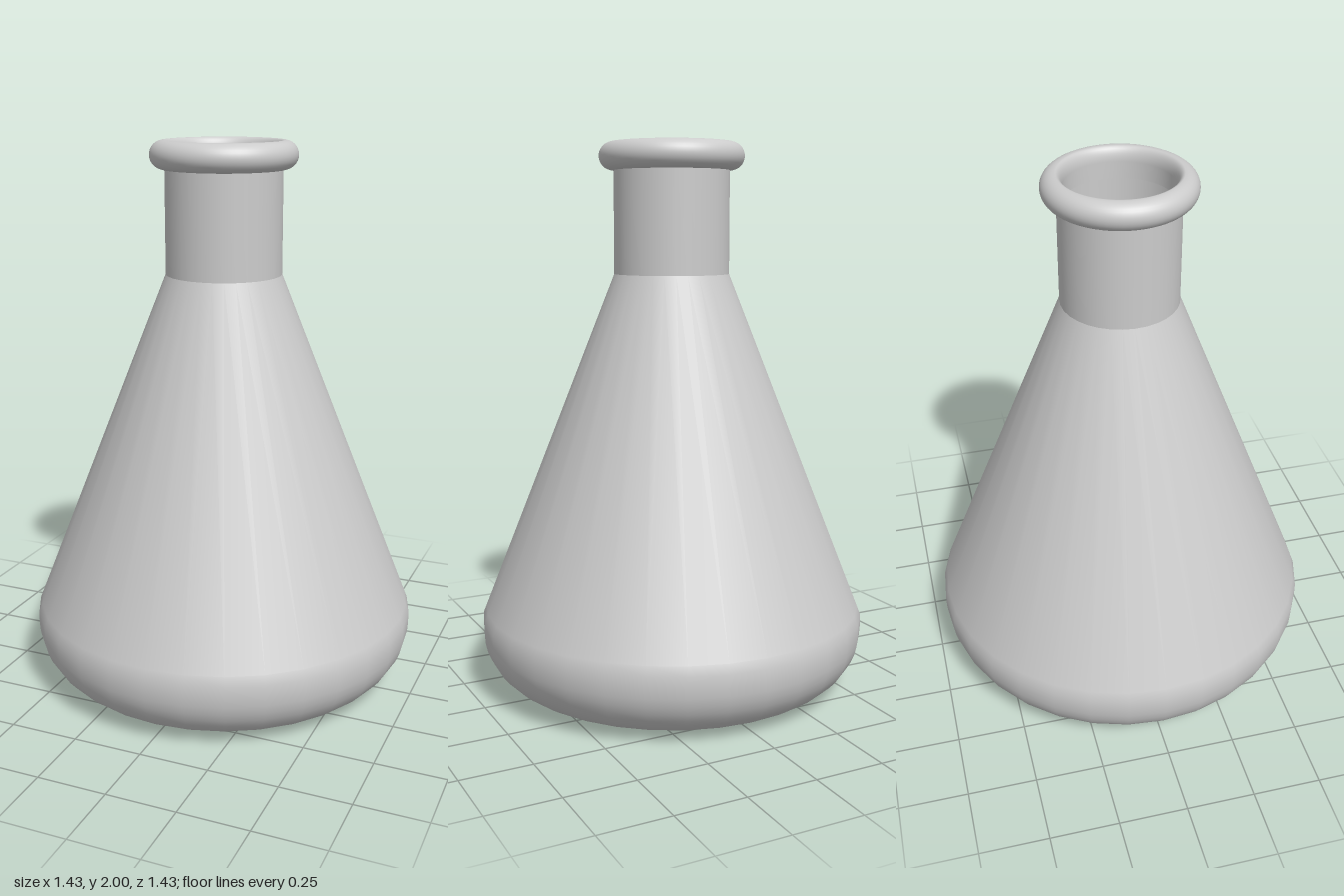
import * as THREE from 'three';

const material = new THREE.MeshStandardMaterial({ color: 0xcccccc, side: THREE.DoubleSide });

function lathe(name, points, segments) {
  const profile = points.map(([r, y]) => new THREE.Vector2(r, y));
  const mesh = new THREE.Mesh(new THREE.LatheGeometry(profile, segments), material);
  mesh.name = name;
  return mesh;
}

// Points on an elliptical arc, angles in quarter turns
function arc(cx, cy, rx, ry, from, to, steps) {
  return Array.from({ length: steps + 1 }, (_, i) => {
    const a = (from + (to - from) * i / steps) * Math.PI / 2;
    return [cx + rx * Math.cos(a), cy + ry * Math.sin(a)];
  });
}

export function createModel() {
  const flask = new THREE.Group();
  flask.name = 'conicalFlask';

  // Flat base, rounded heel and conical wall
  flask.add(lathe('body', [
    [0, 0], [0.48, 0],
    ...arc(0.503, 0.217, 0.21, 0.21, -1, 0, 10),
    [0.713, 0.262], [0.70, 0.295], [0.21, 1.53],
  ], 32));

  // Straight neck, open at the top
  flask.add(lathe('neck', [[0.21, 1.53], [0.21, 1.905]], 32));

  // Rolled lip: round bead outside, shallower curve down the inside
  flask.add(lathe('lip', [
    [0.205, 1.9],
    ...arc(0.213, 1.95, 0.05, 0.05, -1, 1, 16),
    ...arc(0.213, 1.95, 0.024, 0.05, 1, 2, 8).slice(1),
    [0.189, 1.89],
  ], 64));

  return flask;
}
